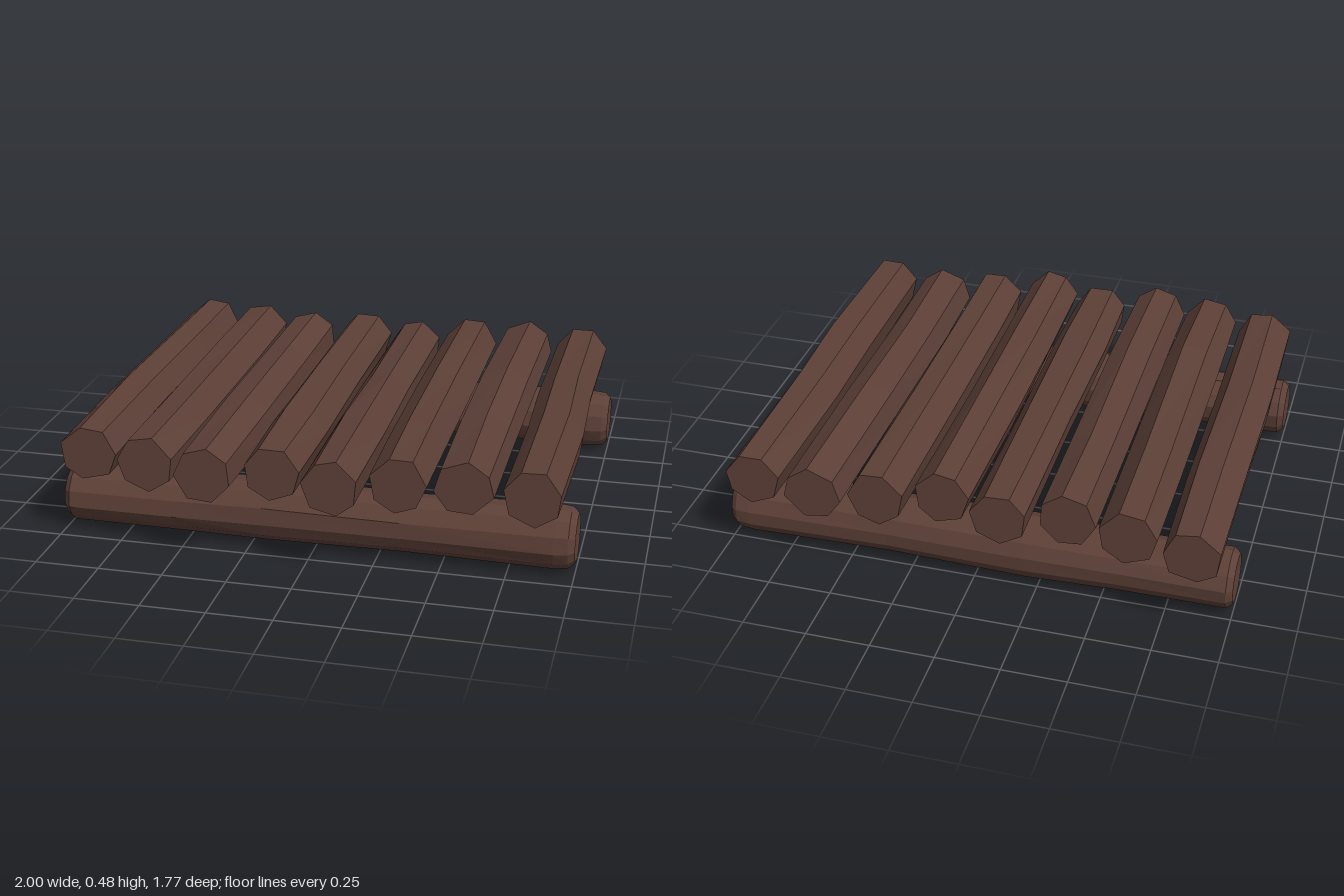
import * as THREE from 'three';

// Small seeded generator, returns values in -1..1
function makeNoise(seed) {
  let s = seed * 7919 + 17;
  return () => {
    s = (s * 16807) % 2147483647;
    return (s / 2147483647) * 2 - 1;
  };
}

// Faceted log along z. Each ring is [z, radius, x offset, y offset];
// dent pushes the centre of both end caps inward.
function hewnLog(rings, sides, phase, jitter, dent, seed) {
  const noise = makeNoise(seed);
  for (let i = 0; i < 10; i++) noise();
  const shape = Array.from({ length: sides }, () => noise());
  const loops = rings.map(([z, r, ox, oy], i) =>
    shape.map((bump, k) => {
      const inner = i > 0 && i < rings.length - 1;
      const a = phase + ((k + bump * 0.1) / sides) * Math.PI * 2 + (inner ? noise() * jitter * 4 : 0);
      const rad = r + bump * jitter * 0.5 + noise() * jitter * 0.5;
      const p = new THREE.Vector3(ox + Math.cos(a) * rad, oy + Math.sin(a) * rad, z);
      return p;
    }));

  const pos = [];
  const tri = (...pts) => pts.forEach((p) => pos.push(p.x, p.y, p.z));
  for (let i = 0; i < loops.length - 1; i++) {
    for (let k = 0; k < sides; k++) {
      const n = (k + 1) % sides;
      const a = loops[i][k], b = loops[i][n], c = loops[i + 1][n], d = loops[i + 1][k];
      tri(a, b, c);
      tri(a, c, d);
    }
  }
  // End caps
  const last = rings.length - 1;
  const c0 = new THREE.Vector3(rings[0][2], rings[0][3], rings[0][0] + dent);
  const c1 = new THREE.Vector3(rings[last][2], rings[last][3], rings[last][0] - dent);
  for (let k = 0; k < sides; k++) {
    const n = (k + 1) % sides;
    tri(c0, loops[0][n], loops[0][k]);
    tri(c1, loops[last][k], loops[last][n]);
  }

  const geo = new THREE.BufferGeometry();
  geo.setAttribute('position', new THREE.Float32BufferAttribute(pos, 3));
  geo.computeVertexNormals();
  return geo;
}

export function createModel() {
  const model = new THREE.Group();
  model.name = 'logPlatform';
  const darkWood = new THREE.MeshStandardMaterial({ color: 0x5d4037 });
  darkWood.name = 'darkWood';

  // Deck logs: [x centre, back z, front z, section angle]
  const deck = [
    [-0.86, -0.89, 0.765, 0.05],
    [-0.615, -0.84, 0.82, 0.3],
    [-0.375, -0.79, 0.867, 0.55],
    [-0.125, -0.85, 0.805, 0.2],
    [0.115, -0.775, 0.885, 0.4],
    [0.355, -0.85, 0.802, 0.1],
    [0.595, -0.88, 0.775, 0.6],
    [0.85, -0.85, 0.805, 0.25],
  ];
  deck.forEach(([x, back, front, phase], i) => {
    const noise = makeNoise(i + 41);
    for (let j = 0; j < 5; j++) noise();
    const len = front - back;
    const mid1 = back + len * (0.34 + noise() * 0.08);
    const mid2 = back + len * (0.7 + noise() * 0.08);
    const rings = [
      [back, 0.11, 0, 0],
      [mid1, 0.113, noise() * 0.008, noise() * 0.006],
      [mid2, 0.116, noise() * 0.008, noise() * 0.006],
      [front, 0.11, 0, 0],
    ];
    const log = new THREE.Mesh(hewnLog(rings, 7, phase, 0.009, 0, i + 3), darkWood);
    log.name = 'deckLog' + (i + 1);
    log.position.set(x, 0.368, 0);
    model.add(log);
  });

  // Two round support beams with worn, slightly hollow ends
  const beamRings = [
    [-1, 0.095, 0, 0],
    [-0.975, 0.115, 0, 0],
    [-0.55, 0.113, 0, -0.003],
    [-0.2, 0.123, 0.003, 0.002],
    [0.35, 0.114, -0.003, 0],
    [0.92, 0.122, 0, -0.001],
    [0.975, 0.116, 0, 0],
    [1, 0.095, 0, 0],
  ];
  [['frontBeam', 0.592, 21], ['backBeam', -0.655, 22]].forEach(([name, z, seed]) => {
    const beam = new THREE.Mesh(hewnLog(beamRings, 12, 0.13, 0.004, 0.008, seed), darkWood);
    beam.name = name;
    beam.rotation.y = Math.PI / 2;
    beam.position.set(0, 0.13, z);
    model.add(beam);
  });

  // Rest the lowest point on the ground
  model.updateMatrixWorld(true);
  const low = new THREE.Box3().setFromObject(model, true).min.y;
  model.children.forEach((part) => { part.position.y -= low; });
  return model;
}
